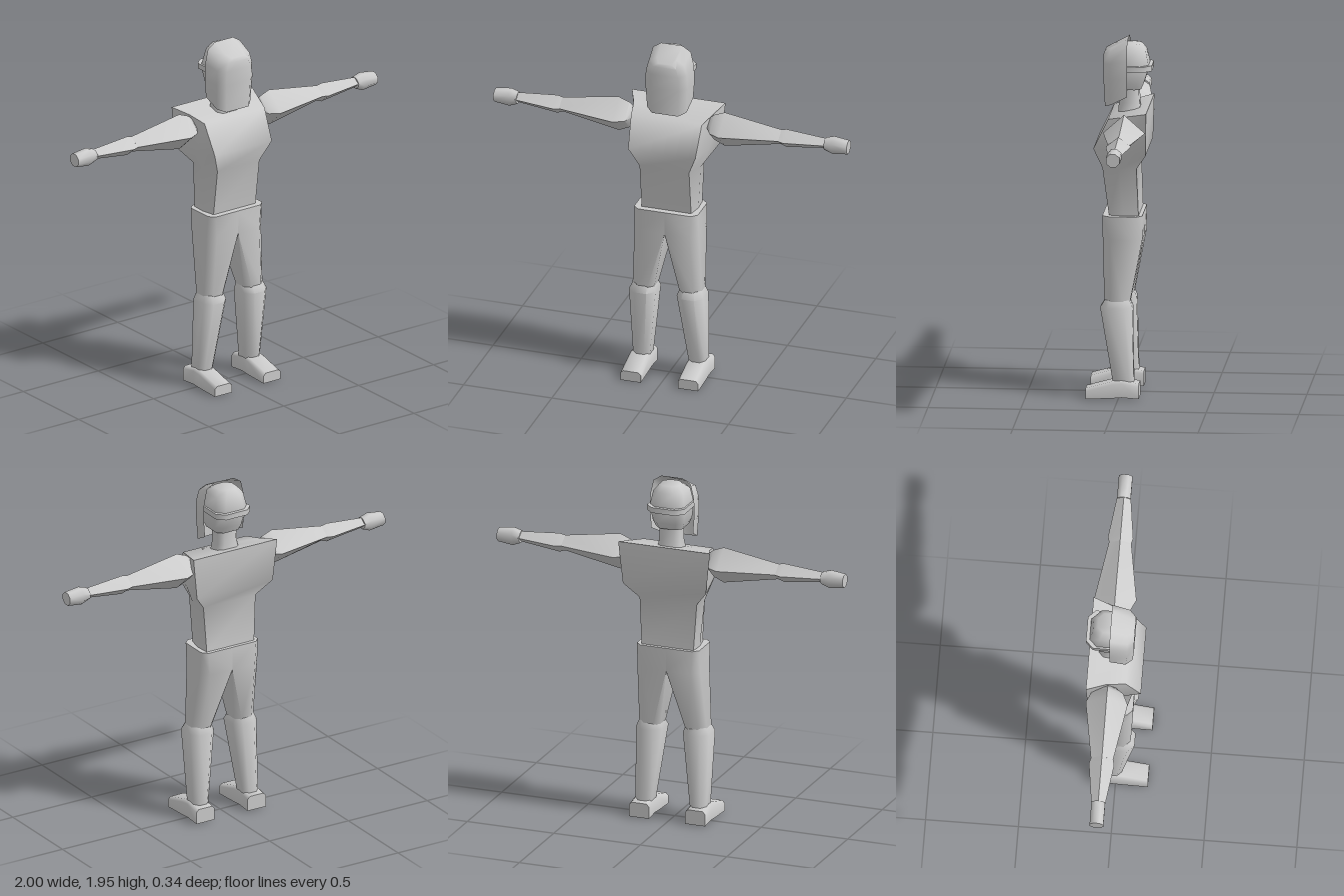
import * as THREE from 'three';
import { toCreasedNormals } from 'three/addons/utils/BufferGeometryUtils.js';

const material = new THREE.MeshStandardMaterial({ color: 0xcccccc });
const shellMaterial = new THREE.MeshStandardMaterial({ color: 0xcccccc, side: THREE.DoubleSide });

// Skins a list of equal-length rings of [x, y, z] points and caps the ends.
function loft(name, rings, { open = false, capEnd = true, crease = 1, mat = material } = {}) {
  const tris = [];
  const n = rings[0].length;
  for (let r = 0; r < rings.length - 1; r++) {
    for (let i = 0; i < (open ? n - 1 : n); i++) {
      const j = (i + 1) % n;
      const [a, b, c, d] = [rings[r][i], rings[r][j], rings[r + 1][j], rings[r + 1][i]];
      tris.push([a, b, c], [a, c, d]);
    }
  }
  const last = rings[rings.length - 1];
  for (let i = 1; i < n - 1; i++) {
    tris.push([rings[0][0], rings[0][i + 1], rings[0][i]]);
    if (capEnd) tris.push([last[0], last[i], last[i + 1]]);
  }
  // Turn the faces outward whichever way the rings run.
  const centre = new THREE.Vector3();
  rings.flat().forEach((p) => centre.add(new THREE.Vector3(...p)));
  centre.divideScalar(n * rings.length);
  let volume = 0;
  for (const t of tris) {
    const [a, b, c] = t.map((p) => new THREE.Vector3(...p).sub(centre));
    volume += a.dot(b.cross(c));
  }
  if (volume < 0) tris.forEach((t) => t.reverse());
  const geometry = new THREE.BufferGeometry();
  geometry.setAttribute('position', new THREE.Float32BufferAttribute(tris.flat(2), 3));
  const mesh = new THREE.Mesh(toCreasedNormals(geometry, crease), mat);
  mesh.name = name;
  return mesh;
}

// Ring from the +x half outline, running front to back.
const mirrorRing = (half) => [...half, ...half.map(([x, y, z]) => [-x, y, z]).reverse()];

// Horizontal rectangle with cut corners: ci on the inner side, co on the outer side.
const cutRing = (y, xi, xo, zf, zb, ci, co) => [
  [xi + ci, y, zf], [xo - co, y, zf], [xo, y, zf - co], [xo, y, zb + co],
  [xo - co, y, zb], [xi + ci, y, zb], [xi, y, zb + ci], [xi, y, zf - ci],
];

// Upright ring across an arm, at distance x from the middle.
const armRing = (x, y, ry, rz, sides, turn = 0) =>
  Array.from({ length: sides }, (_, i) => {
    const a = ((i + turn) / sides) * Math.PI * 2;
    return [x, y + ry * Math.cos(a), -0.04 + rz * Math.sin(a)];
  });

function addSide(group, s) {
  const side = s > 0 ? 'left' : 'right';
  const add = (part, rings, options) =>
    group.add(loft(side + part, rings.map((ring) => ring.map(([x, y, z]) => [s * x, y, z])), options));

  // Arm
  add('UpperArm', [
    armRing(0.21, 1.5, 0.04, 0.04, 4), armRing(0.24, 1.49, 0.075, 0.085, 4),
    armRing(0.3, 1.488, 0.1, 0.113, 4), armRing(0.62, 1.493, 0.043, 0.06, 4),
  ], { crease: 1.2 });
  add('Forearm', [
    armRing(0.61, 1.493, 0.042, 0.058, 4), armRing(0.65, 1.49, 0.053, 0.068, 4),
    armRing(0.88, 1.495, 0.028, 0.037, 4),
  ], { crease: 1.2 });
  add('Hand', [
    armRing(0.87, 1.492, 0.033, 0.04, 8, 0.5), armRing(0.915, 1.49, 0.05, 0.04, 8, 0.5),
    armRing(1, 1.49, 0.038, 0.04, 8, 0.5),
  ]);

  // Leg
  add('Thigh', [
    cutRing(1, 0, 0.18, 0.09, -0.125, 0, 0.03),
    cutRing(0.87, 0, 0.182, 0.088, -0.125, 0, 0.04),
    cutRing(0.53, 0.07, 0.195, 0.078, -0.06, 0.03, 0.035),
    cutRing(0.48, 0.08, 0.19, 0.07, -0.05, 0.03, 0.03),
  ]);
  add('Shin', [
    cutRing(0.54, 0.075, 0.193, 0.075, -0.058, 0.03, 0.03),
    cutRing(0.5, 0.06, 0.21, 0.1, -0.073, 0.04, 0.04),
    cutRing(0.09, 0.11, 0.205, 0.03, -0.082, 0.025, 0.025),
  ]);

  // Boot, swept from heel to toe
  const bootRing = (z, y0, y1, c) => [
    [0.105, y0, z], [0.22, y0, z], [0.22, y1 - c, z],
    [0.22 - c, y1, z], [0.105 + c, y1, z], [0.105, y1 - c, z],
  ];
  add('Boot', [
    bootRing(-0.112, 0.008, 0.09, 0.015), bootRing(-0.02, 0.015, 0.106, 0.015),
    bootRing(0.03, 0.01, 0.1, 0.015), bootRing(0.175, 0.003, 0.06, 0.015),
  ]);
}

export function createModel() {
  const group = new THREE.Group();
  group.name = 'figure';

  // Torso: narrow waist, deep chest, broad sloping shoulders
  group.add(loft('torso', [
    [0.14, 0.155, 0.15, 1, 1, 0.055, -0.105],
    [0.14, 0.175, 0.165, 1.26, 1.26, 0.09, -0.095],
    [0.19, 0.215, 0.24, 1.375, 1.35, 0.135, -0.15],
    [0.2, 0.22, 0.265, 1.54, 1.585, 0.055, -0.155],
  ].map(([wf, wm, wb, yf, yb, zf, zb]) => mirrorRing([
    [wf, yf, zf], [wm, (yf + yb) / 2, (zf + zb) / 2], [wb, yb, zb],
  ]))));

  // Neck
  group.add(loft('neck', [
    cutRing(1.52, -0.075, 0.075, 0.015, -0.11, 0.025, 0.025),
    cutRing(1.6, -0.06, 0.06, 0.01, -0.1, 0.025, 0.025),
    cutRing(1.72, -0.06, 0.06, 0.01, -0.095, 0.025, 0.025),
  ]));

  // Head
  group.add(loft('head', [
    cutRing(1.675, -0.075, 0.075, 0.05, -0.11, 0.03, 0.03),
    cutRing(1.71, -0.09, 0.09, 0.06, -0.125, 0.035, 0.035),
    cutRing(1.8, -0.1, 0.1, 0.065, -0.153, 0.04, 0.04),
    cutRing(1.885, -0.085, 0.085, 0.05, -0.135, 0.04, 0.04),
    cutRing(1.92, -0.055, 0.055, 0, -0.11, 0.03, 0.03),
  ]));

  // Strap round the back of the head
  group.add(loft('strap', [
    cutRing(1.78, -0.108, 0.108, 0.06, -0.17, 0.04, 0.04),
    cutRing(1.81, -0.108, 0.108, 0.06, -0.17, 0.04, 0.04),
  ]));

  // Long face shell, open behind and below
  group.add(loft('faceShell', [
    [0.06, 1.95, 1.888, 0.083],
    [0.107, 1.92, 1.87, 0.09],
    [0.125, 1.84, 1.82, 0.09],
    [0.128, 1.75, 1.74, 0.09],
    [0.12, 1.645, 1.585, 0.082],
  ].map(([w, yb, yf, zf]) => mirrorRing([
    [w * 0.62, yf, zf], [w * 0.93, yf + (yb - yf) * 0.25, zf - 0.035], [w, yb, -0.04],
  ].reverse())), { open: true, capEnd: false, mat: shellMaterial }));

  addSide(group, 1);
  addSide(group, -1);
  return group;
}
